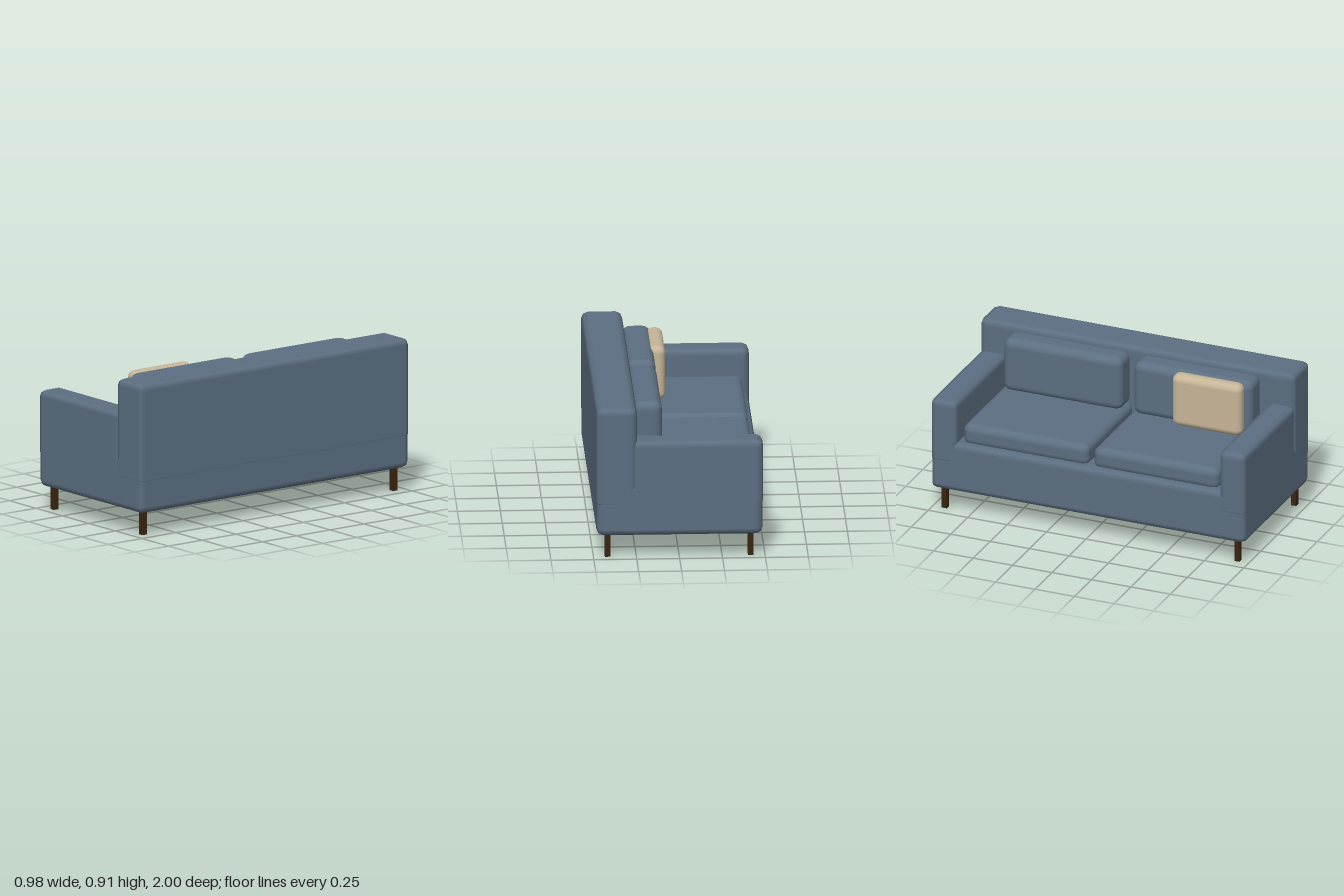
import * as THREE from 'three';
import { RoundedBoxGeometry } from 'three/addons/geometries/RoundedBoxGeometry.js';

export function createModel() {
  const model = new THREE.Group();
  model.name = 'sofa';

  const fabric = new THREE.MeshStandardMaterial({ color: 0x5c6f81 });
  fabric.name = 'blueGreyFabric';
  const linen = new THREE.MeshStandardMaterial({ color: 0xc6b597 });
  linen.name = 'beigeLinen';
  const wood = new THREE.MeshStandardMaterial({ color: 0x3a2510 });
  wood.name = 'darkWood';

  // Rounded block given by its extents on each axis
  const block = (name, [x0, x1], [y0, y1], [z0, z1], radius, segments, material) => {
    const geometry = new RoundedBoxGeometry(x1 - x0, y1 - y0, z1 - z0, segments, radius);
    const mesh = new THREE.Mesh(geometry, material);
    mesh.position.set((x0 + x1) / 2, (y0 + y1) / 2, (z0 + z1) / 2);
    mesh.name = name;
    model.add(mesh);
    return mesh;
  };

  // Frame: the seat faces -x
  block('base', [-0.484, 0.484], [0.136, 0.45], [-0.998, 0.998], 0.04, 1, fabric);
  block('backrest', [0.247, 0.487], [0.3, 0.912], [-1, 1], 0.04, 1, fabric);

  for (const side of [-1, 1]) {
    const label = side > 0 ? 'Left' : 'Right';
    const span = (a, b) => (side > 0 ? [a, b] : [-b, -a]);

    block('arm' + label, [-0.488, 0.28], [0.3, 0.712], span(0.83, 0.999), 0.04, 1, fabric);

    // Cushions
    block('seatCushion' + label, [-0.445, 0.25], [0.43, 0.565], span(0.015, 0.81), 0.045, 3, fabric);
    block('backCushion' + label, [0.092, 0.26], [0.55, 0.887], span(0.035, 0.79), 0.05, 3, fabric);

    // Legs
    for (const x of [-0.417, 0.417]) {
      const leg = new THREE.Mesh(new THREE.BoxGeometry(0.033, 0.16, 0.033), wood);
      leg.position.set(x, 0.08, side * 0.928);
      leg.name = (x < 0 ? 'frontLeg' : 'backLeg') + label;
      model.add(leg);
    }
  }

  // Loose pillow leaning on one back cushion
  block('throwPillow', [0.024, 0.12], [0.56, 0.887], [0.31, 0.75], 0.042, 4, linen);

  return model;
}
